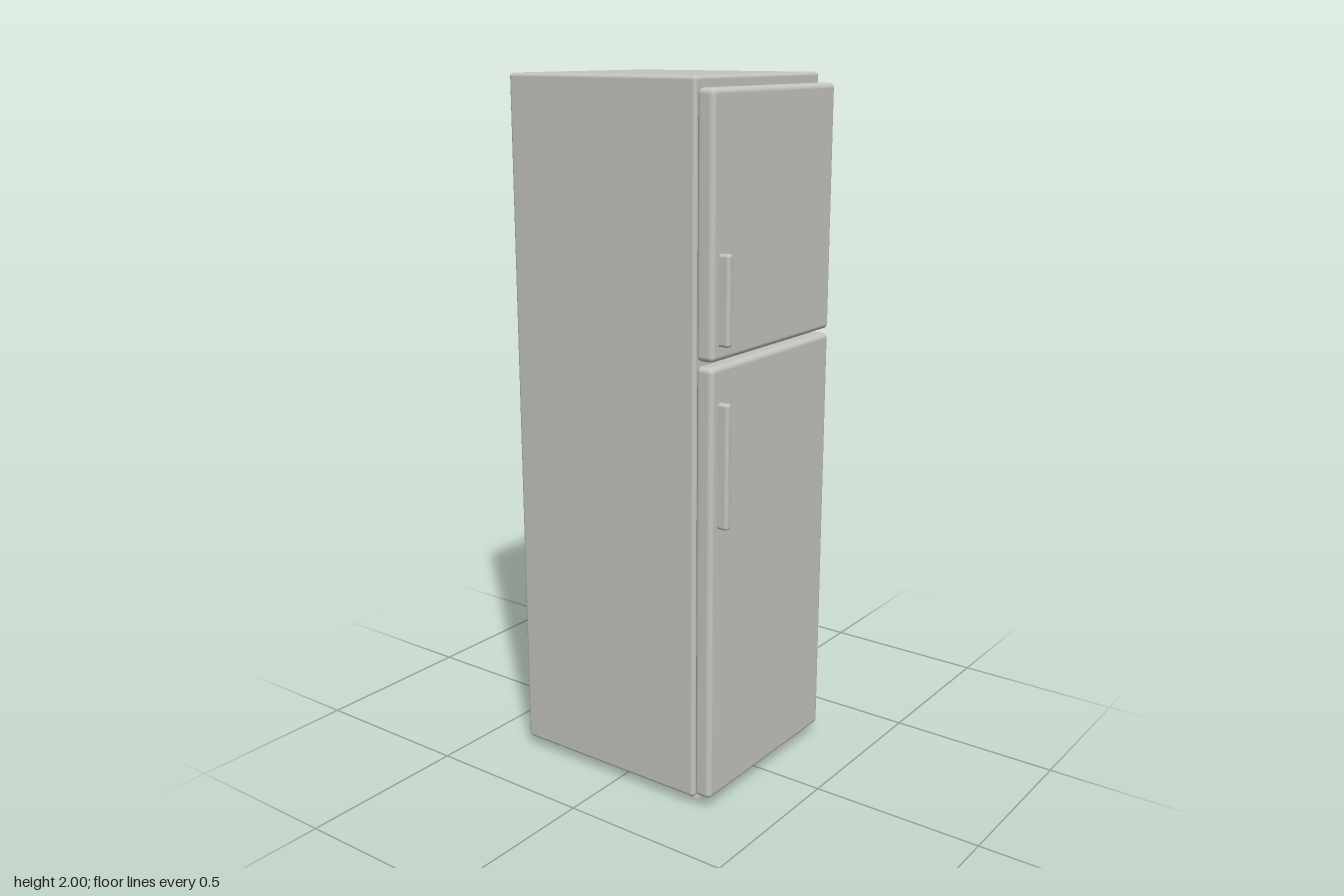
import * as THREE from 'three';
import { RoundedBoxGeometry } from 'three/addons/geometries/RoundedBoxGeometry.js';

export function createModel() {
  const group = new THREE.Group();
  const enamel = new THREE.MeshStandardMaterial({ color: 0xc4c4c0 });
  enamel.name = 'lightGreyEnamel';

  const add = (name, geometry, x, y, z) => {
    const mesh = new THREE.Mesh(geometry, enamel);
    mesh.name = name;
    mesh.position.set(x, y, z);
    group.add(mesh);
  };

  // Rounded block given by its extents on each axis
  const block = (name, [x0, x1], [y0, y1], [z0, z1], radius) =>
    add(name, new RoundedBoxGeometry(x1 - x0, y1 - y0, z1 - z0, 4, radius),
      (x0 + x1) / 2, (y0 + y1) / 2, (z0 + z1) / 2);

  // Cabinet
  block('cabinet', [-0.294, 0.294], [0.028, 2], [-0.352, 0.268], 0.01);

  // Doors, each with a vertical handle on the model's right
  const doors = [
    { name: 'freezer', door: [1.286, 1.972], handle: [1.326, 1.565] },
    { name: 'fridge', door: [0.037, 1.273], handle: [0.832, 1.177] },
  ];
  for (const { name, door, handle } of doors) {
    block(name + 'Door', [-0.292, 0.292], door, [0.268, 0.322], 0.015);
    block(name + 'Handle', [-0.265, -0.242], handle, [0.314, 0.352], 0.008);
  }

  // Four short round feet
  const footGeometry = new THREE.CylinderGeometry(0.015, 0.015, 0.034, 24);
  for (const x of [-0.241, 0.241]) {
    for (const z of [-0.265, 0.24]) add('foot', footGeometry, x, 0.017, z);
  }

  return group;
}
